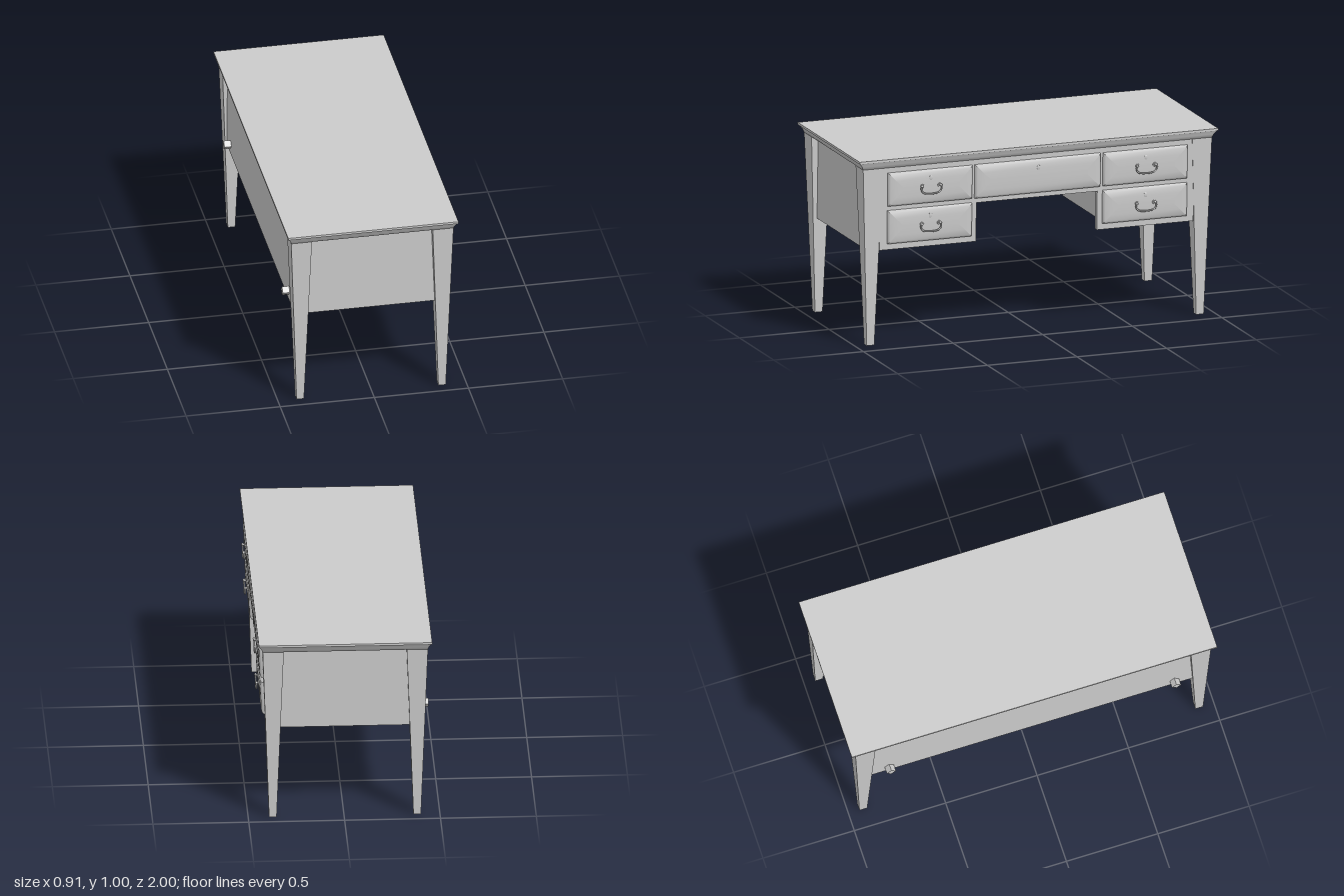
import * as THREE from 'three';

const material = new THREE.MeshStandardMaterial({ color: 0xcccccc, side: THREE.DoubleSide });

function add(parent, name, geometry, x = 0, y = 0, z = 0) {
  const mesh = new THREE.Mesh(geometry, material);
  mesh.name = name;
  mesh.position.set(x, y, z);
  parent.add(mesh);
  return mesh;
}

// box given by its limits
function block(parent, name, x0, x1, y0, y1, z0, z1) {
  return add(parent, name, new THREE.BoxGeometry(x1 - x0, y1 - y0, z1 - z0),
    (x0 + x1) / 2, (y0 + y1) / 2, (z0 + z1) / 2);
}

// stacks rectangles [y, x0, x1, z0, z1]: smooth along the profile, sharp at the corners
function rectLoft(rings) {
  const positions = [], index = [];
  const corners = ([y, xa, xb, za, zb]) => {
    const x0 = Math.min(xa, xb), x1 = Math.max(xa, xb);
    const z0 = Math.min(za, zb), z1 = Math.max(za, zb);
    return [[x1, y, z1], [x1, y, z0], [x0, y, z0], [x0, y, z1]];
  };
  const loops = rings.map(corners);
  for (let side = 0; side < 4; side++) {
    const start = positions.length / 3;
    loops.forEach((c) => positions.push(...c[side], ...c[(side + 1) % 4]));
    for (let i = 0; i < loops.length - 1; i++) {
      const a = start + i * 2;
      index.push(a, a + 1, a + 3, a, a + 3, a + 2);
    }
  }
  const cap = (c) => {
    const s = positions.length / 3;
    c.forEach((p) => positions.push(...p));
    index.push(s, s + 1, s + 2, s, s + 2, s + 3);
  };
  cap(loops[loops.length - 1]);
  cap([...loops[0]].reverse());
  const geometry = new THREE.BufferGeometry();
  geometry.setAttribute('position', new THREE.Float32BufferAttribute(positions, 3));
  geometry.setIndex(index);
  geometry.computeVertexNormals();
  return geometry;
}

// softly raised drawer front with a bevelled rim, facing +x
function drawerFront(width, height) {
  const ring = (depth, inset) => [depth, -height / 2 + inset, height / 2 - inset, -width / 2 + inset, width / 2 - inset];
  return rectLoft([ring(-0.01, 0), ring(0.008, 0), ring(0.016, 0.012), ring(0.019, 0.045), ring(0.0195, 0.08)])
    .rotateZ(-Math.PI / 2);
}

// keyhole plate above the pull
function addKeyPlate(parent, x, y, z) {
  const plate = add(parent, 'keyPlate', new THREE.SphereGeometry(0.012, 12, 8), x, y, z);
  plate.scale.set(0.25, 1.1, 0.8);
}

// swinging pull hung between two posts
function addPull(parent, x, y, z) {
  const pull = new THREE.Group();
  pull.name = 'drawerPull';
  pull.position.set(x, y, z);
  const half = [[0.011, 0.014, 0.054], [0.011, 0, 0.057], [0.011, -0.016, 0.051], [0.012, -0.025, 0.038], [0.013, -0.028, 0.02]];
  const points = [...half, [0.013, -0.029, 0], ...half.map(([a, b, c]) => [a, b, -c]).reverse()];
  const curve = new THREE.CatmullRomCurve3(points.map((p) => new THREE.Vector3(...p)));
  add(pull, 'bail', new THREE.TubeGeometry(curve, 40, 0.0045, 8));
  for (const s of [-1, 1]) {
    add(pull, 'rosette', new THREE.CylinderGeometry(0.01, 0.012, 0.005, 14).rotateZ(-Math.PI / 2), 0.001, 0.012, s * 0.048);
    add(pull, 'post', new THREE.CylinderGeometry(0.005, 0.005, 0.014, 10).rotateZ(-Math.PI / 2), 0.005, 0.012, s * 0.048);
    add(pull, 'postKnob', new THREE.SphereGeometry(0.007, 10, 8), 0.011, 0.014, s * 0.052);
  }
  parent.add(pull);
}

export function createModel() {
  const model = new THREE.Group();
  model.name = 'desk';
  const desk = new THREE.Group();
  desk.name = 'deskBody';
  desk.position.x = -0.005;
  model.add(desk);

  // table top with a moulding that rolls under to the panels
  block(desk, 'tableTop', -0.452, 0.452, 0.993, 1.005, -1, 1);
  const profile = [[0.955, 0.39, 0.932], [0.955, 0.431, 0.973], [0.973, 0.437, 0.981], [0.993, 0.447, 0.995]];
  add(desk, 'topMoulding', rectLoft(profile.map(([y, x, z]) => [y, -x, x, -z, z])));

  // tapered legs
  for (const sx of [-1, 1]) for (const sz of [-1, 1]) {
    add(desk, 'leg', rectLoft([
      [0, sx * 0.357, sx * 0.396, sz * 0.898, sz * 0.94],
      [0.956, sx * 0.321, sx * 0.431, sz * 0.863, sz * 0.973],
    ]));
  }

  // end panels and long rear panel
  for (const s of [-1, 1]) block(desk, 'endPanel', -0.36, 0.36, 0.51, 0.956, s * 0.925 - 0.011, s * 0.925 + 0.011);
  block(desk, 'rearPanel', -0.405, -0.383, 0.51, 0.956, -0.9, 0.9);

  // drawer boxes behind the front
  block(desk, 'centreDrawerBox', -0.2, 0.41, 0.745, 0.92, -0.33, 0.33);
  for (const s of [-1, 1]) {
    for (const y of [0.545, 0.745]) {
      block(desk, 'sideDrawerBox', -0.2, 0.405, y, y + 0.17, s * 0.6 - 0.22, s * 0.6 + 0.22);
    }
    // square pegs set on edge, passing through the rear panel
    const peg = add(desk, 'peg', new THREE.BoxGeometry(0.17, 0.035, 0.035), -0.357, 0.566, s * 0.78);
    peg.rotation.x = Math.PI / 4;
  }

  // front, leaning with the taper of the legs; local y = 0 is its top edge
  const front = new THREE.Group();
  front.name = 'front';
  front.position.set(0.429, 0.955, 0);
  front.rotation.z = -0.0366;
  desk.add(front);

  // front frame with the knee opening
  const outline = [[-0.875, 0], [-0.875, -0.445], [-0.337, -0.445], [-0.337, -0.235], [0.337, -0.235], [0.337, -0.445], [0.875, -0.445], [0.875, 0]];
  const frame = new THREE.ExtrudeGeometry(new THREE.Shape(outline.map((p) => new THREE.Vector2(...p))), { depth: 0.025, bevelEnabled: false });
  add(front, 'frontFrame', frame.translate(0, 0, -0.025).rotateY(Math.PI / 2));

  // drawers with their hardware
  add(front, 'centreDrawer', drawerFront(0.7, 0.182), 0, -0.118, 0);
  addKeyPlate(front, 0.018, -0.07, 0);
  for (const s of [-1, 1]) for (const y of [-0.118, -0.322]) {
    add(front, 'sideDrawer', drawerFront(0.47, 0.18), 0, y, s * 0.6);
    addKeyPlate(front, 0.018, y + 0.048, s * 0.6);
    addPull(front, 0.019, y - 0.006, s * 0.6);
  }
  return model;
}
